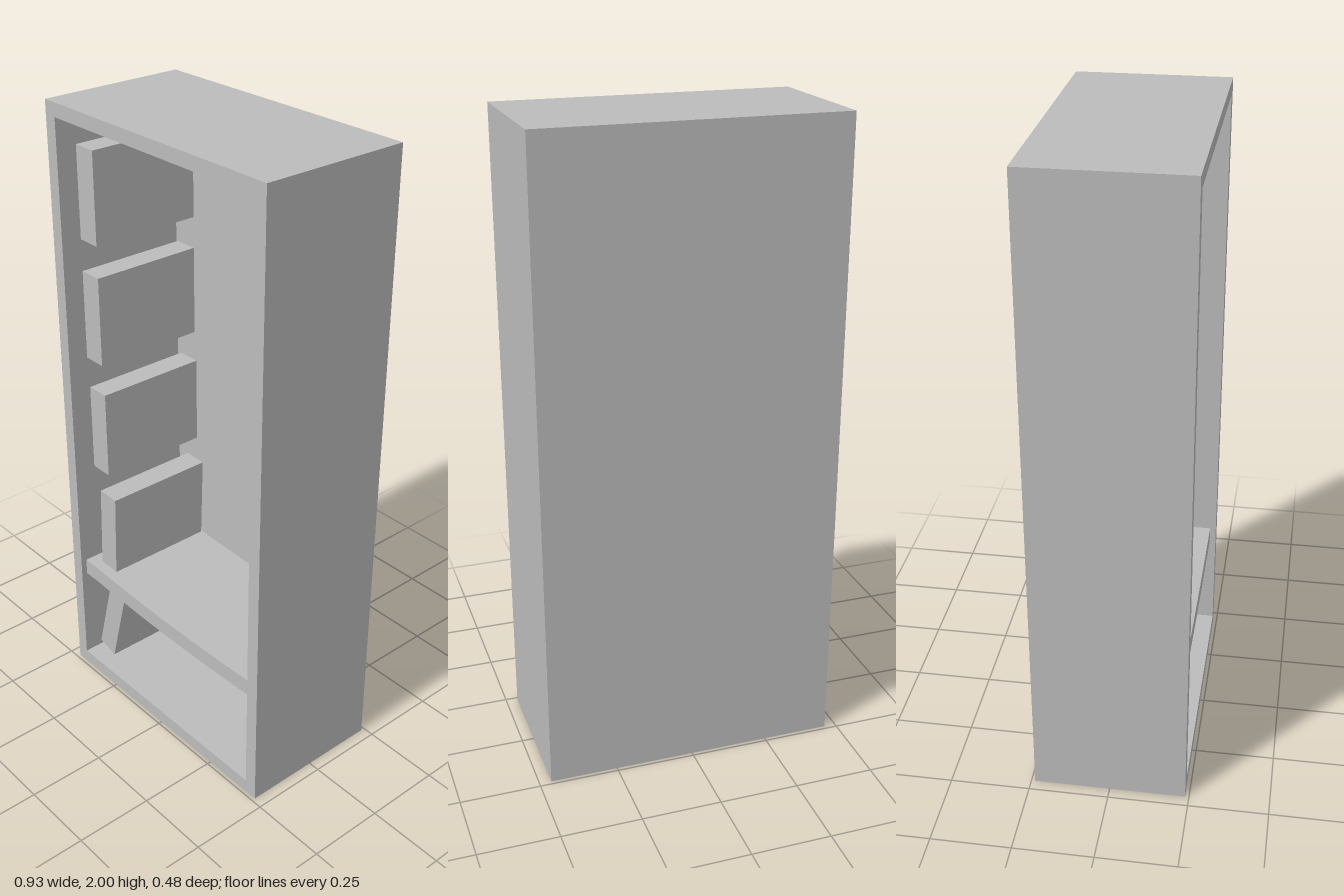
import * as THREE from 'three';

export function createModel() {
  const group = new THREE.Group();
  group.name = 'bookcase';
  const grey = new THREE.MeshStandardMaterial({ color: 0xbbbbbb });
  grey.name = 'light grey';

  const add = (name, geometry, x, y, z, tilt = 0) => {
    const mesh = new THREE.Mesh(geometry, grey);
    mesh.name = name;
    mesh.position.set(x, y, z);
    mesh.rotation.z = tilt;
    group.add(mesh);
  };

  const W = 0.463, D = 0.238, BACK = 0.041;

  // Case: one rectangular frame with an open front, closed by the back panel
  const frame = new THREE.Shape();
  frame.moveTo(-W, 0).lineTo(W, 0).lineTo(W, 2).lineTo(-W, 2).closePath();
  const opening = new THREE.Path();
  opening.moveTo(-0.42, 0.045).lineTo(-0.42, 1.957).lineTo(0.42, 1.957).lineTo(0.42, 0.045).closePath();
  frame.holes.push(opening);
  add('caseFrame', new THREE.ExtrudeGeometry(frame, { depth: 2 * D - BACK, bevelEnabled: false }), 0, 0, -D + BACK);
  add('backPanel', new THREE.BoxGeometry(2 * W, 2, BACK), 0, 1, -D + BACK / 2);

  // Shelf: a board that sags in the middle, its ends let into the sides
  const shelf = new THREE.BoxGeometry(0.92, 0.055, 0.43, 10, 1, 1);
  const p = shelf.attributes.position;
  for (let i = 0; i < p.count; i++) {
    const t = Math.min(1, Math.abs(p.getX(i) - 0.04) / 0.42);
    p.setY(i, p.getY(i) - 0.013 * (1 - t * t));
  }
  shelf.computeVertexNormals();
  add('shelf', shelf, 0, 0.399, 0.003);

  // Books: centre x, centre y, lean
  const book = new THREE.BoxGeometry(0.078, 0.291, 0.372);
  const books = [
    [-0.367, 1.725, 0],
    [-0.367, 1.332, 0],
    [-0.359, 0.94, 0],
    [-0.335, 0.566, -0.037],
    [-0.336, 0.2, -0.258],
  ];
  books.forEach(([x, y, lean], i) => add(`book${i + 1}`, book, x, y, -0.006, lean));

  return group;
}
